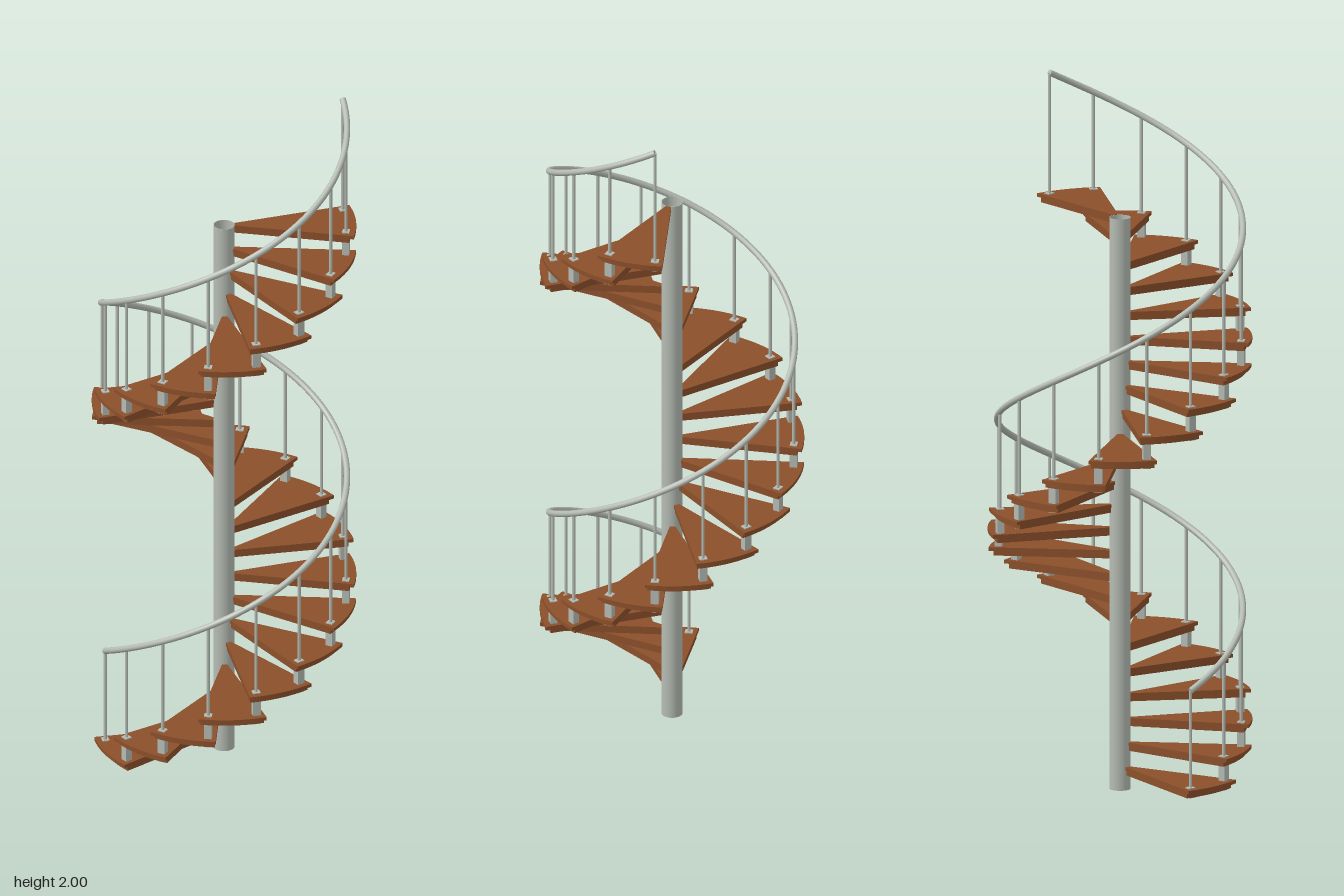
import * as THREE from 'three';

const STEPS = 24, TURN = Math.PI / 8, RISE = 0.0685;
const FIRST = -THREE.MathUtils.degToRad(157.5); // angle of the first baluster
const HALF = THREE.MathUtils.degToRad(15);      // half the angle of one tread
const RAIL_R = 0.344;
const topOf = (i) => 0.067 + RISE * THREE.MathUtils.clamp(i, 0, STEPS - 1);
const railY = (j) => 0.347 + RISE * j;

// Wedge outline with its straight sides moved in by a constant inset
function wedge(r0, r1, inset, Type = THREE.Shape) {
  const s = new Type();
  const a0 = HALF - Math.asin(inset / r0), a1 = HALF - Math.asin(inset / r1);
  s.moveTo(r0 * Math.cos(-a0), r0 * Math.sin(-a0));
  s.lineTo(r1 * Math.cos(-a1), r1 * Math.sin(-a1));
  s.absarc(0, 0, r1, -a1, a1, false);
  s.lineTo(r0 * Math.cos(a0), r0 * Math.sin(a0));
  s.absarc(0, 0, r0, a0, -a0, true);
  return s;
}

// Extrude a flat outline upwards from height y
function slab(shape, y, height) {
  const g = new THREE.ExtrudeGeometry(shape, { depth: height, bevelEnabled: false, curveSegments: 10 });
  return g.rotateX(-Math.PI / 2).translate(0, y, 0);
}

class Helix extends THREE.Curve {
  getPoint(t, target = new THREE.Vector3()) {
    const a = FIRST + t * STEPS * TURN;
    return target.set(RAIL_R * Math.cos(a), railY(t * STEPS), -RAIL_R * Math.sin(a));
  }
}

export function createModel() {
  const wood = new THREE.MeshStandardMaterial({ color: 0x8b4f2a });
  wood.name = 'brown wood';
  const metal = new THREE.MeshStandardMaterial({ color: 0xb5bbb3 });
  metal.name = 'grey metal';

  const model = new THREE.Group();
  model.name = 'spiralStaircase';
  const add = (parent, name, geometry, material) => {
    const m = new THREE.Mesh(geometry, material);
    m.name = name;
    parent.add(m);
    return m;
  };

  // Central pole: a hollow tube, open at both ends
  const ring = new THREE.Shape().absarc(0, 0, 0.03, 0, Math.PI * 2, false);
  ring.holes.push(new THREE.Path().absarc(0, 0, 0.0285, 0, Math.PI * 2, true));
  const tube = new THREE.ExtrudeGeometry(ring, { depth: 1.642, bevelEnabled: false, curveSegments: 32 });
  add(model, 'centralPole', tube.rotateX(-Math.PI / 2), metal);

  // Treads: overhanging top board, hollow wooden rim and metal lining below
  const rim = wedge(0.03, 0.356, 0.003);
  rim.holes.push(wedge(0.06, 0.347, 0.009, THREE.Path));
  const lining = wedge(0.06, 0.347, 0.009);
  lining.holes.push(wedge(0.064, 0.344, 0.012, THREE.Path));
  const boardGeo = slab(wedge(0.03, 0.37, 0), -0.01, 0.01);
  const rimGeo = slab(rim, -0.024, 0.014);
  const liningGeo = slab(lining, -0.025, 0.015);
  const panelGeo = slab(wedge(0.062, 0.346, 0.01), -0.014, 0.004);
  for (let i = 0; i < STEPS; i++) {
    const step = new THREE.Group();
    step.name = 'step' + (i + 1);
    step.position.y = topOf(i);
    step.rotation.y = FIRST + (i + 0.5) * TURN;
    add(step, 'treadBoard', boardGeo, wood);
    add(step, 'treadRim', rimGeo, wood);
    add(step, 'treadLining', liningGeo, metal);
    add(step, 'underPanel', panelGeo, metal);
    model.add(step);
  }

  // Balusters, with a square spacer joining each pair of neighbouring treads
  for (let j = 0; j <= STEPS; j++) {
    const post = new THREE.Group();
    post.name = 'post' + (j + 1);
    post.rotation.y = FIRST + j * TURN;
    const low = topOf(j - 1) - 0.026, high = topOf(j) + 0.003;
    const spacer = add(post, 'spacer', new THREE.BoxGeometry(0.02, high - low, 0.022), metal);
    spacer.position.set(RAIL_R, (low + high) / 2, 0);
    const end = railY(j);
    const baluster = add(post, 'baluster', new THREE.CylinderGeometry(0.0048, 0.0048, end - low, 10), metal);
    baluster.position.set(RAIL_R, (low + end) / 2, 0);
    model.add(post);
  }

  // Handrail with flat end caps
  const helix = new Helix();
  add(model, 'handrail', new THREE.TubeGeometry(helix, 160, 0.009, 12, false), metal);
  for (const t of [0, 1]) {
    const cap = add(model, 'handrailEnd', new THREE.CircleGeometry(0.009, 12), metal);
    const p = helix.getPoint(t), d = helix.getTangent(t).multiplyScalar(t ? 1 : -1);
    cap.position.copy(p);
    cap.lookAt(p.clone().add(d));
  }
  return model;
}
